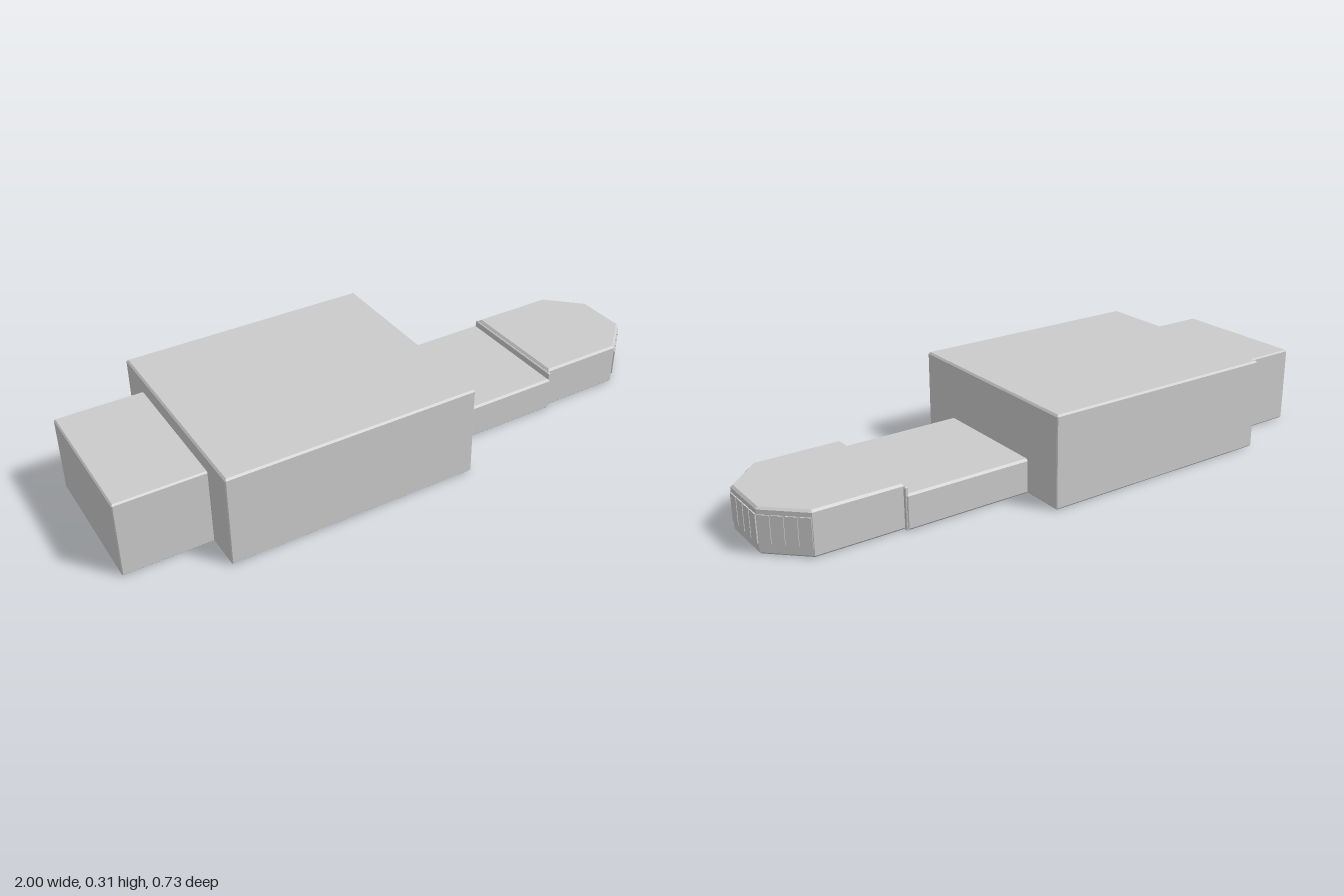
import * as THREE from 'three';

const material = new THREE.MeshStandardMaterial({ color: 0xcccccc, flatShading: true });

// Solid raised from a plan outline of [x, z] points, with chamfered top and bottom edges
function block(name, outline, height, bevel) {
  const shape = new THREE.Shape(outline.map(([x, z]) => new THREE.Vector2(x, -z)));
  const geo = new THREE.ExtrudeGeometry(shape, {
    depth: height - 2 * bevel, bevelEnabled: true, bevelSegments: 1,
    bevelSize: bevel, bevelThickness: bevel, bevelOffset: -bevel,
  });
  geo.rotateX(-Math.PI / 2);
  geo.translate(0, bevel, 0);
  const mesh = new THREE.Mesh(geo, material);
  mesh.name = name;
  return mesh;
}

// Rectangle with its vertical corners clipped
function rect(x0, x1, w, c = 0.003) {
  return [
    [x0, w - c], [x0 + c, w], [x1 - c, w], [x1, w - c],
    [x1, c - w], [x1 - c, -w], [x0 + c, -w], [x0, c - w],
  ];
}

// Row of thin window panes along a wall from a to b (x, z), facing outward
function paneRow(name, a, b, count) {
  const row = new THREE.Group();
  row.name = name;
  const dx = b[0] - a[0], dz = b[1] - a[1];
  const length = Math.hypot(dx, dz), step = length / count;
  const geo = new THREE.BoxGeometry(step - 0.005, 0.093, 0.008);
  for (let i = 0; i < count; i++) {
    const pane = new THREE.Mesh(geo, material);
    pane.name = 'windowPane';
    pane.position.x = (i + 0.5) * step - length / 2;
    row.add(pane);
  }
  row.position.set((a[0] + b[0]) / 2, 0.0815, (a[1] + b[1]) / 2);
  row.rotation.y = Math.atan2(-dz, dx);
  return row;
}

export function createModel() {
  const model = new THREE.Group();
  model.name = 'building';

  // Stepped blocks along the length
  model.add(block('endBlock', rect(-1, -0.7, 0.243), 0.263, 0.005));
  model.add(block('mainHall', rect(-0.71, 0.143, 0.367), 0.315, 0.006));
  model.add(block('connectingWing', rect(0.135, 0.58, 0.217), 0.12, 0.007));
  model.add(block('wingCollar', rect(0.574, 0.584, 0.213, 0.002), 0.142, 0.002));

  // Pavilion with tapered nose
  const side = 0.203, tip = 0.09, xs = 0.878, xe = 0.996;
  model.add(block('pavilion', [
    [0.58, side], [xs, side], [xe, tip], [xe, -tip], [xs, -side], [0.58, -side],
  ], 0.15, 0.007));

  // Windows round the nose
  model.add(paneRow('leftWindows', [xs, side], [xe, tip], 4));
  model.add(paneRow('endWindows', [xe, tip], [xe, -tip], 4));
  model.add(paneRow('rightWindows', [xe, -tip], [xs, -side], 4));
  return model;
}
